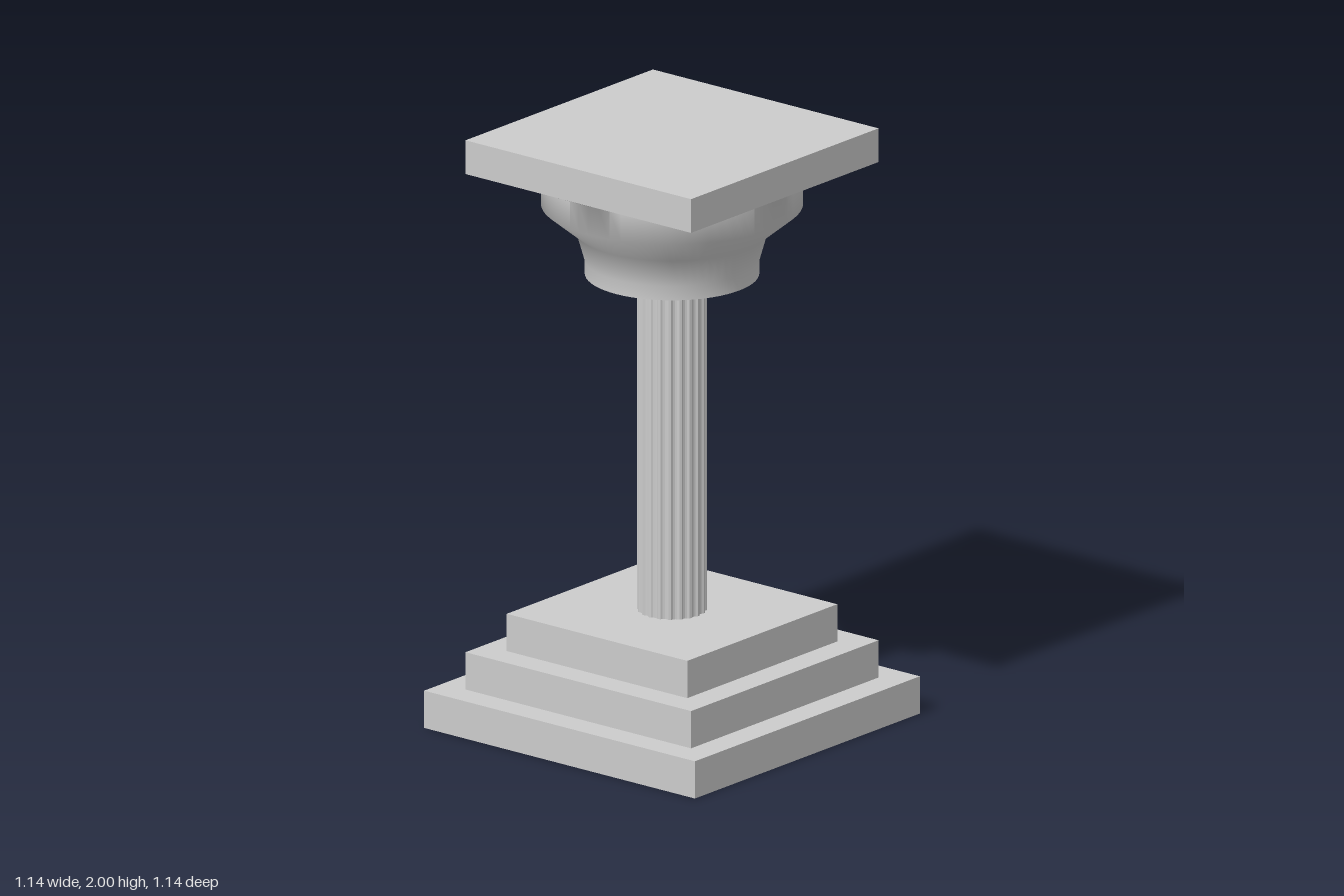
import * as THREE from 'three';
import { mergeVertices, toCreasedNormals } from 'three/addons/utils/BufferGeometryUtils.js';

const material = new THREE.MeshStandardMaterial({ color: 0xcccccc });

function add(group, name, geometry) {
  const mesh = new THREE.Mesh(geometry, material);
  mesh.name = name;
  group.add(mesh);
}

// Square slab between two heights
function slab(half, y0, y1) {
  return new THREE.BoxGeometry(half * 2, y1 - y0, half * 2).translate(0, (y0 + y1) / 2, 0);
}

// Shaft with shallow scalloped flutes separated by narrow flat fillets
function flutedShaft(y0, y1, radius, depth, flutes) {
  const points = [];
  const profile = [[0, 0], [0.25, 0], [0.42, 0.75], [0.625, 1], [0.83, 0.75]];
  for (let i = 0; i < flutes; i++) {
    for (const [t, d] of profile) {
      const a = ((i + t - 0.125) / flutes) * Math.PI * 2;
      const r = radius - depth * d;
      points.push(new THREE.Vector2(Math.cos(a) * r, Math.sin(a) * r));
    }
  }
  const geo = new THREE.ExtrudeGeometry(new THREE.Shape(points), { depth: y1 - y0, bevelEnabled: false });
  return geo.rotateX(-Math.PI / 2).translate(0, y0, 0);
}

// Round bell whose top ring spreads out to the square slab above
function capitalBell(topY, half) {
  const profile = [
    [0, 1.527], [0.283, 1.527], [0.283, 1.575], [0.31, 1.67],
    [0.425, 1.765], [0.425, 1.862], [half, topY],
  ].map(([r, y]) => new THREE.Vector2(r, y));
  let geo = new THREE.LatheGeometry(profile, 64);
  const pos = geo.attributes.position;
  for (let i = 0; i < pos.count; i++) {
    if (pos.getY(i) < topY - 0.001) continue;
    const x = pos.getX(i), z = pos.getZ(i);
    const k = half / Math.max(Math.abs(x), Math.abs(z));
    pos.setX(i, x * k);
    pos.setZ(i, z * k);
  }
  geo.deleteAttribute('uv');
  geo.deleteAttribute('normal');
  geo = mergeVertices(geo, 1e-5);
  return toCreasedNormals(geo, 1.2);
}

export function createModel() {
  const model = new THREE.Group();
  model.name = 'pedestalColumn';

  // Stepped base
  const step = 0.127;
  [0.57, 0.475, 0.38].forEach((half, i) => {
    add(model, `baseStep${i + 1}`, slab(half, i * step, (i + 1) * step));
  });

  // Shaft and capital
  add(model, 'shaft', flutedShaft(0.38, 1.53, 0.113, 0.007, 20));
  add(model, 'capitalBell', capitalBell(1.885, 0.475));
  add(model, 'topSlab', slab(0.475, 1.885, 2));

  return model;
}
